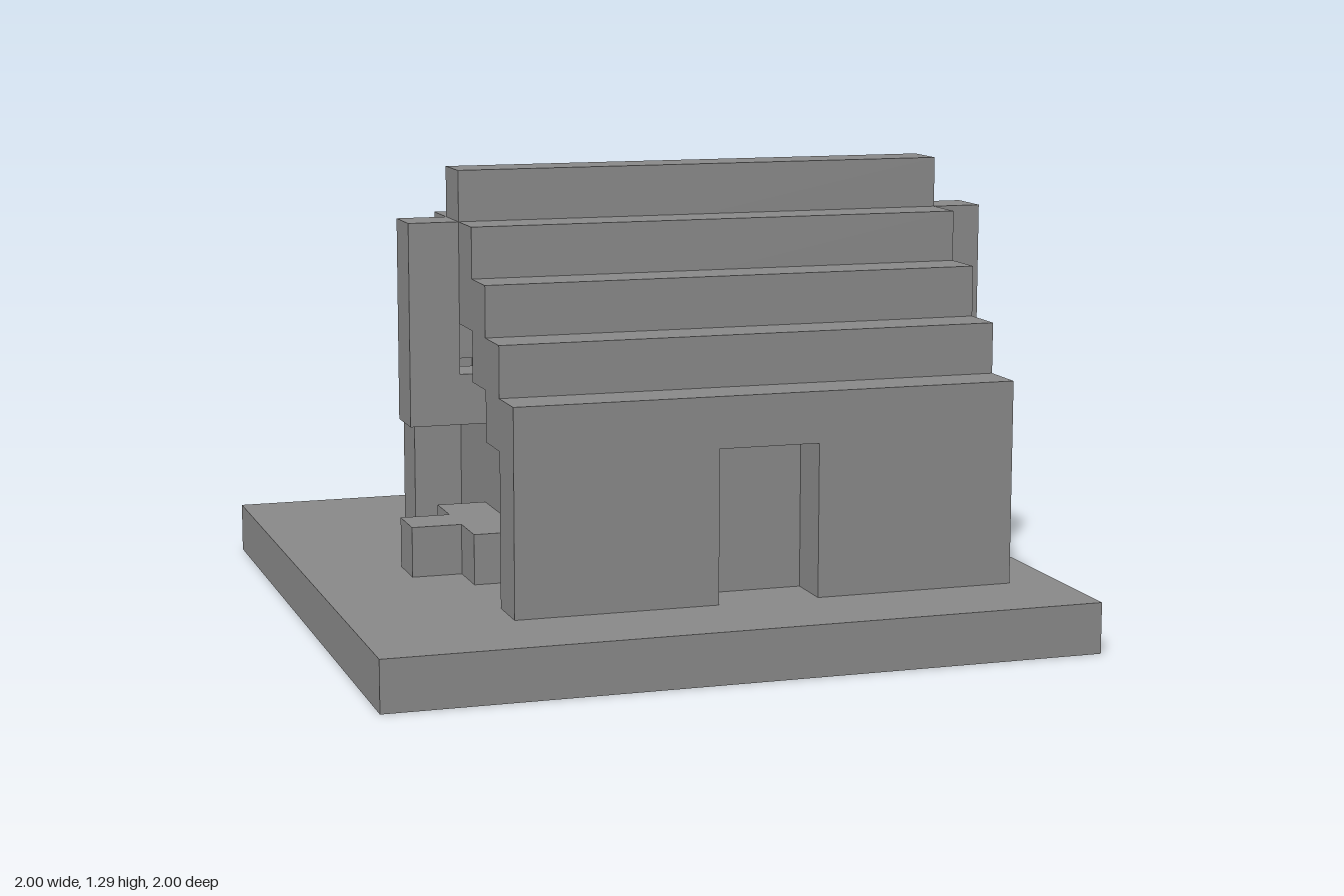
import * as THREE from 'three';

// One block is a seventh of a unit; everything below is laid out in blocks.
const U = 1 / 7;

export function createModel() {
  const model = new THREE.Group();
  model.name = 'blockHouse';
  const stone = new THREE.MeshStandardMaterial({ color: 0x888888 });
  stone.name = 'grey stone';

  function add(name, geometry) {
    const mesh = new THREE.Mesh(geometry, stone);
    mesh.name = name;
    model.add(mesh);
    return mesh;
  }

  // Box from its minimum and maximum corner
  function box(name, x0, x1, y0, y1, z0, z1) {
    const g = new THREE.BoxGeometry(x1 - x0, y1 - y0, z1 - z0);
    g.translate((x0 + x1) / 2, (y0 + y1) / 2, (z0 + z1) / 2);
    return add(name, g);
  }

  function extrude(points, depth) {
    const shape = new THREE.Shape(points.map(([a, b]) => new THREE.Vector2(a, b)));
    return new THREE.ExtrudeGeometry(shape, { depth, bevelEnabled: false });
  }

  // Ground slab
  box('base', -7, 7, 0, 1, -7, 7);

  // Long walls, each with a doorway notch
  const wall = [[-4, 1], [0, 1], [0, 4], [2, 4], [2, 1], [6, 1], [6, 5], [-4, 5]];
  add('frontWall', extrude(wall, 1).translate(0, 0, 4));
  add('backWall', extrude(wall, 1).translate(0, 0, -4));

  // Stepped roof courses on both slopes, and the ridge
  for (let i = 0; i < 3; i++) {
    box('frontRoofStep', -4, 6, 4 + i, 6 + i, 3 - i, 4 - i);
    box('backRoofStep', -4, 6, 4 + i, 6 + i, -3 + i, -2 + i);
  }
  box('ridge', -4, 6, 7, 9, 0, 1);

  // Stepped gable body, extruded along x (profile runs along -z)
  const steps = [
    [3, 1], [3, 4], [2, 4], [2, 5], [1, 5], [1, 6], [0, 6], [0, 7],
    [-1, 7], [-1, 6], [-2, 6], [-2, 5], [-3, 5], [-3, 4], [-4, 4], [-4, 1],
  ];
  const doorway = [[-1, 1], [-1, 4], [0, 4], [0, 1]];
  add('body', extrude(steps, 7).rotateY(Math.PI / 2).translate(-3, 0, 0));
  add('leftGableWall', extrude([...steps, ...doorway], 1).rotateY(Math.PI / 2).translate(4, 0, 0));

  // Hooked gable posts at both ends
  box('leftPost', 6, 7, 4, 8, 0, 1);
  box('leftPostBracket', 5, 6, 4, 5, 0, 1);
  box('rightPost', -5, -4, 4, 8, 0, 1);
  box('rightPostBracket', -4, -3, 4, 5, 0, 1);

  // Low blocks flanking the end doorway
  box('doorBlock', 5, 6, 1, 2, 1, 2);
  box('doorBlock', 5, 6, 1, 2, -1, 0);

  // Low T-shaped bench at the other end
  box('bench', -4, -3, 1, 2, -1, 2);
  box('benchStep', -5, -4, 1, 2, 0, 1);

  model.scale.setScalar(U);
  return model;
}
